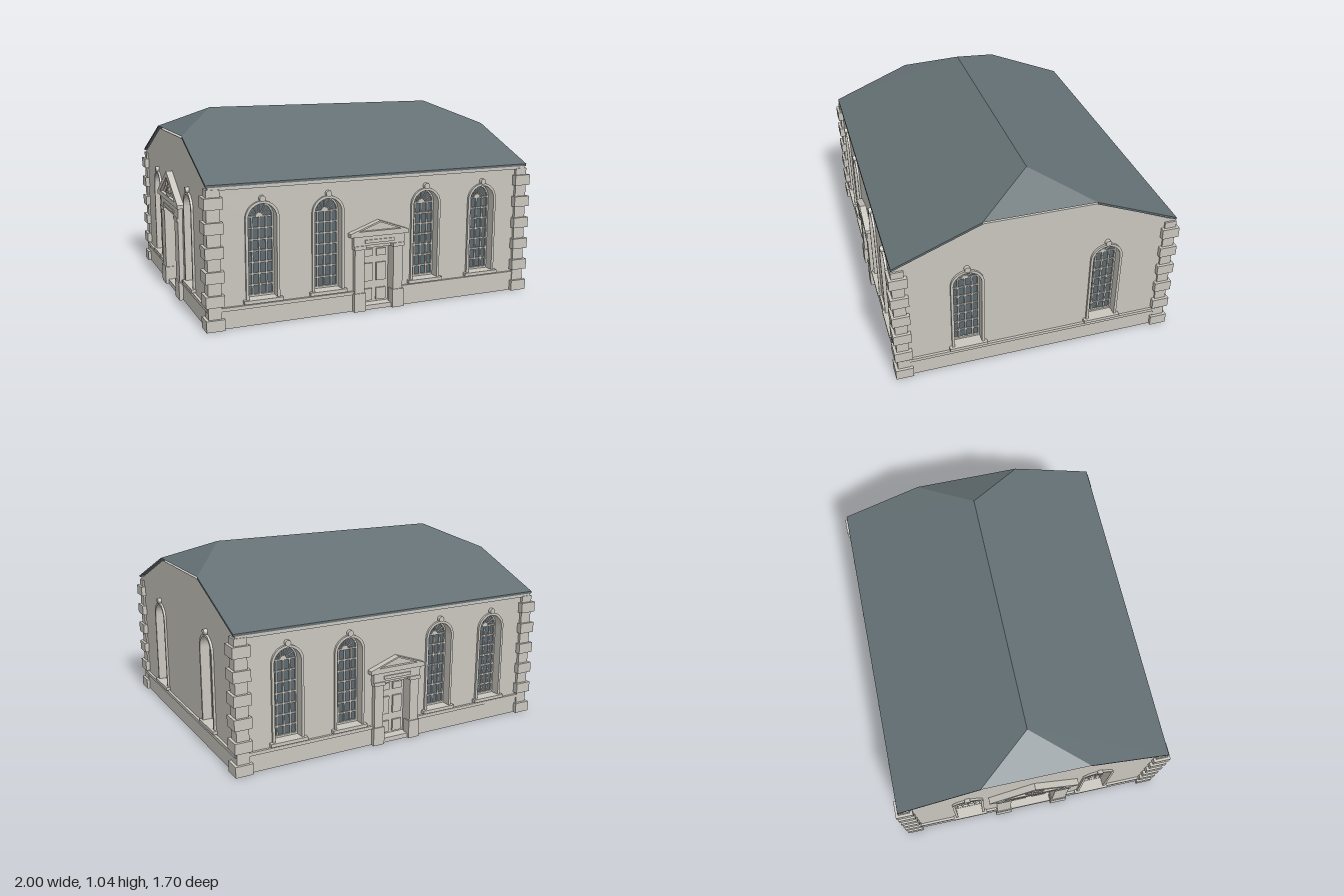
import * as THREE from 'three';

const stone = new THREE.MeshStandardMaterial({ color: 0xc9c6be });
stone.name = 'stone';
const slate = new THREE.MeshStandardMaterial({ color: 0x64707a, side: THREE.DoubleSide });
slate.name = 'slate';
slate.color.set(0x647074);
const glass = new THREE.MeshStandardMaterial({ color: 0x5c6870 });
glass.name = 'glass';

const WX = 0.915, WZ = 0.75, THICK = 0.06;   // wall half sizes and thickness
const SILL = 0.135, SPRING = 0.545, R = 0.075; // arched window opening

function add(parent, name, geometry, material, x = 0, y = 0, z = 0) {
  const mesh = new THREE.Mesh(geometry, material);
  mesh.name = name;
  mesh.position.set(x, y, z);
  parent.add(mesh);
  return mesh;
}

// Box given by its ranges
function block(parent, name, x0, x1, y0, y1, z0, z1, material = stone) {
  return add(parent, name, new THREE.BoxGeometry(x1 - x0, y1 - y0, z1 - z0), material,
    (x0 + x1) / 2, (y0 + y1) / 2, (z0 + z1) / 2);
}

function extrude(shape, depth) {
  return new THREE.ExtrudeGeometry(shape, { depth, bevelEnabled: false, curveSegments: 16 });
}

function arch(path, x, r, bottom) {
  path.moveTo(x - r, bottom);
  path.lineTo(x + r, bottom);
  path.lineTo(x + r, SPRING);
  path.absarc(x, SPRING, r, 0, Math.PI, false);
  path.lineTo(x - r, bottom);
  return path;
}

function polygon(points) {
  return new THREE.Shape(points.map(([x, y]) => new THREE.Vector2(x, y)));
}

// Arched sash window, outer wall face at z = 0
function archedWindow(x) {
  const g = new THREE.Group();
  g.name = 'archedWindow';
  g.position.x = x;
  const surround = arch(new THREE.Shape(), 0, R + 0.014, SILL);
  surround.holes.push(arch(new THREE.Path(), 0, R, SILL));
  add(g, 'windowSurround', extrude(surround, 0.012), stone);
  const sash = arch(new THREE.Shape(), 0, R, SILL);
  sash.holes.push(arch(new THREE.Path(), 0, R - 0.008, SILL + 0.01));
  add(g, 'sashFrame', extrude(sash, 0.015), stone, 0, 0, -0.055);
  add(g, 'windowGlass', new THREE.ShapeGeometry(arch(new THREE.Shape(), 0, R, SILL), 16), glass, 0, 0, -0.05);
  block(g, 'windowSill', -0.103, 0.103, SILL - 0.018, SILL, -0.05, 0.025);
  add(g, 'keystoneBoss', new THREE.CylinderGeometry(0.016, 0.016, 0.02, 16).rotateX(Math.PI / 2), stone, 0, 0.645, 0.01);
  // Glazing bars
  for (let i = -1; i <= 1; i++) {
    const bx = i * R / 2;
    block(g, 'verticalBar', bx - 0.004, bx + 0.004, SILL, SPRING, -0.052, -0.042);
  }
  for (let i = 1; i <= 7; i++) {
    const y = SILL + (SPRING - SILL) * i / 7;
    block(g, 'horizontalBar', -R, R, y - 0.004, y + 0.004, -0.052, -0.043);
  }
  // Fanlight bars
  for (let i = 1; i < 6; i++) {
    const bar = add(g, 'fanBar', new THREE.BoxGeometry(R, 0.005, 0.01).translate(R / 2, 0, 0), stone, 0, SPRING, -0.047);
    bar.rotation.z = Math.PI * i / 6;
  }
  add(g, 'fanHub', new THREE.CylinderGeometry(0.02, 0.02, 0.01, 16, 1, false, -Math.PI / 2, Math.PI)
    .rotateX(-Math.PI / 2), stone, 0, SPRING, -0.046);
  return g;
}

// Panelled door with pilasters and a pediment
function doorway(d) {
  const g = new THREE.Group();
  g.name = 'doorway';
  const w = d.width / 2, o = d.outer / 2, p = d.pediment / 2;
  block(g, 'doorLeaf', -w, w, 0, d.height, -0.06, -0.04);
  block(g, 'threshold', -w, w, 0, 0.025, -0.04, 0.015);
  const rows = [[0.06, 0.3], [0.38, 0.72], [0.79, 0.95]];
  for (const s of [-1, 1]) {
    for (const [a, b] of rows) {
      const c = s * w * 0.47, h = w * 0.33;
      block(g, 'doorPanel', c - h, c + h, a * d.height + 0.015, b * d.height, -0.045, -0.03);
    }
    const c = s * (w + o) / 2, h = (o - w) / 2;
    block(g, 'pilaster', c - h, c + h, 0, d.height + 0.02, -0.03, 0.025);
    block(g, 'pilasterBase', c - h - 0.006, c + h + 0.006, 0, 0.1, -0.02, 0.031);
    block(g, 'pilasterCapital', c - h - 0.006, c + h + 0.006, d.height, d.height + 0.02, -0.02, 0.031);
  }
  const top = d.corniceY;
  block(g, 'entablature', -o - 0.008, o + 0.008, d.height + 0.02, top, -0.02, 0.025);
  block(g, 'friezePanel', -w, w, d.height + 0.033, d.height + 0.05, 0.02, 0.031);
  block(g, 'pedimentCornice', -p, p, top, top + 0.02, -0.02, 0.036);
  const gable = polygon([[-p, top + 0.02], [p, top + 0.02], [0, d.apex]]);
  const k = 0.72, y0 = top + 0.028;
  gable.holes.push(polygon([[-p * k, y0], [p * k, y0], [0, y0 + (d.apex - top - 0.02) * k]]));
  add(g, 'pedimentFrame', extrude(gable, 0.036), stone);
  const tympanum = polygon([[-p, top + 0.02], [p, top + 0.02], [0, d.apex]]);
  add(g, 'tympanum', extrude(tympanum, 0.014), stone, 0, 0, 0.004);
  if (d.ornament) {
    const cy = top + 0.07;
    for (let i = 0; i < 4; i++) {
      const a = i * Math.PI / 2;
      add(g, 'quatrefoilLobe', new THREE.TorusGeometry(0.02, 0.007, 8, 16), stone,
        Math.cos(a) * 0.032, cy + Math.sin(a) * 0.032, 0.028);
    }
  }
  return g;
}

// One wall with windows, plinth and optional doorway
function facade(name, outline, half, windows, door) {
  const g = new THREE.Group();
  g.name = name;
  const shape = polygon(outline);
  for (const x of windows) {
    shape.holes.push(arch(new THREE.Path(), x, R, SILL));
    g.add(archedWindow(x));
  }
  if (door) {
    const w = door.width / 2;
    shape.holes.push(polygon([[-w, 0.004], [w, 0.004], [w, door.height], [-w, door.height]]));
    g.add(doorway(door));
  }
  add(g, 'wall', extrude(shape, THICK), stone, 0, 0, -THICK);
  const spans = door ? [[-half, -door.outer / 2], [door.outer / 2, half]] : [[-half, half]];
  for (const [a, b] of spans) {
    block(g, 'plinth', a, b, 0, 0.092, -0.01, 0.008);
    block(g, 'plinthBand', a, b, 0.092, 0.11, -0.01, 0.014);
  }
  return g;
}

// Half-hipped roof as thin sheets with a shallow edge
function roof() {
  const X = 0.925, Z = 0.7625, E = 0.728, H = 0.916, T = 1.04, RX = 0.69, HZ = 0.3;
  const v = [];
  const fan = (pts) => {
    for (let i = 1; i < pts.length - 1; i++) v.push(...pts[0], ...pts[i], ...pts[i + 1]);
  };
  for (const s of [1, -1]) {
    const slope = [[-X * s, E, Z * s], [X * s, E, Z * s], [X * s, H, HZ * s],
      [RX * s, T, 0], [-RX * s, T, 0], [-X * s, H, HZ * s]];
    fan(slope);
    fan([[X * s, H, HZ * s], [X * s, H, -HZ * s], [RX * s, T, 0]]);
    for (const [a, b] of [[5, 0], [0, 1], [1, 2]]) {
      const [p, q] = [slope[a], slope[b]];
      fan([[p[0], p[1] - 0.012, p[2]], [q[0], q[1] - 0.012, q[2]], q, p]);
    }
  }
  const geometry = new THREE.BufferGeometry();
  geometry.setAttribute('position', new THREE.Float32BufferAttribute(v, 3));
  geometry.computeVertexNormals();
  return geometry;
}

export function createModel() {
  const model = new THREE.Group();
  model.name = 'hall';
  const house = new THREE.Group();
  house.name = 'building';
  house.rotation.y = -0.078;
  model.add(house);

  const smallDoor = { width: 0.17, height: 0.335, outer: 0.28, corniceY: 0.405, pediment: 0.34, apex: 0.485 };
  const grandDoor = { width: 0.26, height: 0.44, outer: 0.43, corniceY: 0.52, pediment: 0.52, apex: 0.69, ornament: true };
  const long = [[-WX + 0.003, 0], [WX - 0.003, 0], [WX - 0.003, 0.715], [-WX + 0.003, 0.715]];
  const gable = [[-WZ + 0.003, 0], [WZ - 0.003, 0], [WZ - 0.003, 0.715], [0.3, 0.9], [-0.3, 0.9], [-WZ + 0.003, 0.715]];

  // Long walls with eaves cornice
  for (const s of [1, -1]) {
    const f = facade(s > 0 ? 'frontWall' : 'backWall', long, WX, [-0.64, -0.285, 0.285, 0.64], smallDoor);
    block(f, 'eavesCornice', -WX, WX, 0.7, 0.722, -0.03, 0.011);
    f.position.z = s * WZ;
    f.rotation.y = s > 0 ? 0 : Math.PI;
    house.add(f);
  }
  // Gable walls
  for (const s of [1, -1]) {
    const f = facade(s > 0 ? 'leftEndWall' : 'rightEndWall', gable, WZ, [-0.38, 0.38], s < 0 ? grandDoor : null);
    f.position.x = s * WX;
    f.rotation.y = s * Math.PI / 2;
    house.add(f);
  }
  // Corner quoins, alternating large and small
  for (const sx of [1, -1]) for (const sz of [1, -1]) {
    for (let i = 0; i < 12; i++) {
      const big = i % 2 === 0, y = Math.floor(i / 2) * 0.122;
      const [x0, x1, z0, z1] = big ? [0.845, 0.94, 0.685, 0.78] : [0.857, 0.925, 0.7, 0.765];
      const q = block(house, 'quoin', x0, x1, big ? y : y + 0.058, big ? y + 0.058 : Math.min(y + 0.122, 0.705), z0, z1);
      q.position.x *= sx;
      q.position.z *= sz;
    }
  }
  block(house, 'floor', -WX + 0.01, WX - 0.01, 0, 0.02, -WZ + 0.01, WZ - 0.01);
  add(house, 'roof', roof(), slate);
  return model;
}
